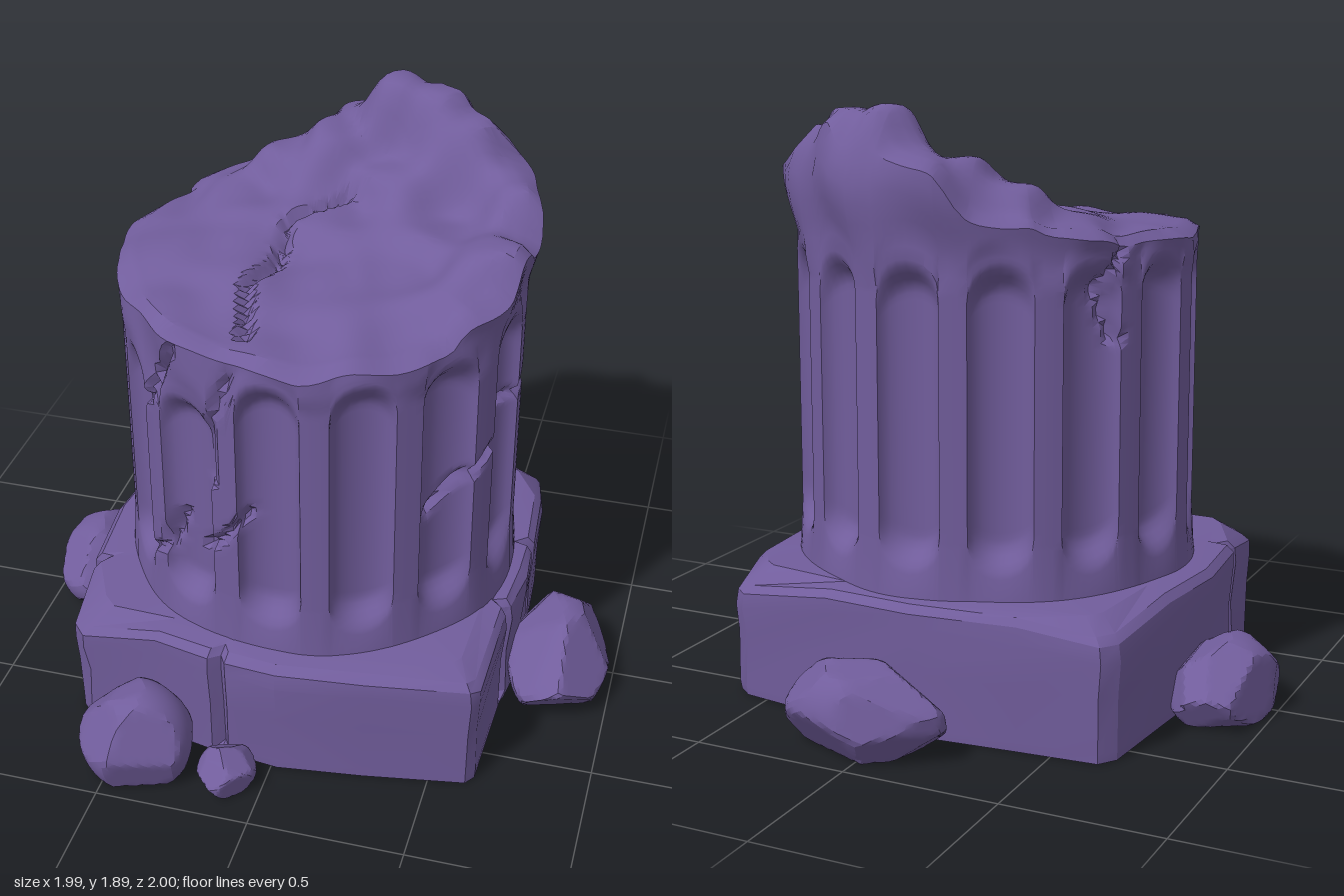
import * as THREE from 'three';
import { toCreasedNormals } from 'three/addons/utils/BufferGeometryUtils.js';

const stone = new THREE.MeshStandardMaterial({ color: 0x715d9c });
stone.name = 'purple stone';

function seeded(seed) {
  return () => {
    seed = (seed * 16807) % 2147483647;
    return seed / 2147483647;
  };
}
const step = (a, b, x) => THREE.MathUtils.smoothstep(x, a, b);

// Surface closed around the vertical axis; u runs front to +x, v runs upward
function wrapGrid(nu, nv, pointAt, crease) {
  const pos = [], index = [];
  for (let v = 0; v < nv; v++) for (let u = 0; u < nu; u++) pos.push(...pointAt(u, v));
  for (let v = 0; v < nv - 1; v++) {
    for (let u = 0; u < nu; u++) {
      const w = (u + 1) % nu;
      const a = v * nu + u, b = v * nu + w, c = b + nu, d = a + nu;
      index.push(a, b, c, a, c, d);
    }
  }
  const g = new THREE.BufferGeometry();
  g.setAttribute('position', new THREE.Float32BufferAttribute(pos, 3));
  g.setIndex(index);
  return toCreasedNormals(g, crease);
}

function addMesh(parent, name, geometry) {
  const m = new THREE.Mesh(geometry, stone);
  m.name = name;
  parent.add(m);
  return m;
}

// Distance from a point to a polyline, for carving cracks
function lineDistance(x, y, pts) {
  let best = 9;
  for (let i = 0; i < pts.length - 1; i++) {
    const [ax, ay] = pts[i], dx = pts[i + 1][0] - ax, dy = pts[i + 1][1] - ay;
    const t = THREE.MathUtils.clamp(((x - ax) * dx + (y - ay) * dy) / (dx * dx + dy * dy), 0, 1);
    best = Math.min(best, Math.hypot(x - ax - t * dx, y - ay - t * dy));
  }
  return best;
}

// Broken top: heights [x, z, y] blended into rough terraces
const peaks = [
  [0, 0.6, 1.45], [-0.4, 0.45, 1.48], [0.4, 0.5, 1.46], [-0.62, 0.1, 1.51], [-0.3, 0.1, 1.53],
  [0, 0.2, 1.5], [0.25, 0.15, 1.52], [0.6, 0.27, 1.54], [0.55, 0.1, 1.64], [0.63, -0.03, 1.59],
  [0.6, -0.2, 1.7], [0.35, -0.1, 1.57], [0, -0.15, 1.56], [-0.35, -0.2, 1.56], [-0.6, -0.2, 1.5],
  [-0.45, -0.42, 1.54], [-0.25, -0.38, 1.66], [-0.1, -0.4, 1.73], [0.1, -0.28, 1.66],
  [0.1, -0.5, 1.89], [0.26, -0.48, 1.89], [0.38, -0.42, 1.81], [0.52, -0.35, 1.71],
  [0, -0.62, 1.75], [0.2, -0.63, 1.79], [0.42, -0.5, 1.76], [-0.3, -0.57, 1.58],
];
const topCrack = [[0, -0.22], [-0.15, -0.05], [-0.13, 0.15], [-0.18, 0.3], [-0.12, 0.52]];
function topHeight(x, z) {
  let sum = 0, weight = 0;
  for (const [px, pz, h] of peaks) {
    const w = 1 / (((x - px) ** 2 + (z - pz) ** 2) ** 2 + 1e-5);
    sum += w * h;
    weight += w;
  }
  const rough = 0.012 * Math.sin(17 * x + 5 * z) * Math.sin(13 * z - 6 * x);
  return sum / weight + rough - 0.035 * (1 - step(0, 0.03, lineDistance(x, z, topCrack)));
}

// Cracks on the shaft as [angle from front, height]
const shaftCracks = [
  [[-0.4, 0.71], [-0.24, 0.8], [-0.12, 0.9]],
  [[-0.78, 0.6], [-0.62, 0.66], [-0.55, 0.8]],
  [[-0.85, 1.12], [-0.7, 1.2], [-0.5, 1.42]],
  [[-0.3, 1.0], [-0.29, 1.2], [-0.2, 1.38]],
  [[0.83, 0.85], [1.1, 1.0], [1.28, 1.08], [1.67, 1.14], [1.9, 1.2]],
  [[-2.1, 1.2], [-2.2, 1.36], [-2.05, 1.5]],
];

function columnGeometry() {
  const R = 0.64, cx = -0.02, cz = 0.015, flutes = 14, per = 13;
  const shaftRows = 46, rimRows = 7, capRows = 26, half = 0.157, pitch = (2 * Math.PI) / flutes;
  return wrapGrid(flutes * per, 1 + shaftRows + rimRows + capRows, (u, v) => {
    // Samples 0-10 cross the flute, 11-12 cross the rib
    const flute = Math.floor(u / per), k = u % per;
    const across = k <= 10 ? Math.sin((Math.PI / 10) * (k - 5)) : 1;
    const rib = k > 10 ? ((pitch - 2 * half) * (k - 10)) / 3 : 0;
    let angle = flute * pitch + across * half + rib;
    if (angle > Math.PI) angle -= 2 * Math.PI;
    const s = Math.sin(angle), c = Math.cos(angle);
    const rimY = topHeight(cx + R * s, cz + R * c);
    const mid = flute * pitch;
    const midRim = topHeight(cx + R * Math.sin(mid), cz + R * Math.cos(mid));
    const round = 0.09 * (1 - Math.sqrt(1 - across * across));
    const chip = flute === 12 ? 0.1 : flute === 13 ? 0.14 : 0;
    const yb = 0.49 + round;
    const yt = Math.min(Math.min(midRim - 0.06, 1.45) - chip, rimY - 0.05) - round;
    let y, r = R + 0.012 * Math.sin(3 * angle + 1) * Math.sin(4 * angle);

    if (v === 0) {
      y = 0.41;
      r += 0.01;
    } else if (v <= shaftRows) {
      y = yb + ((yt - yb) * (v - 1)) / (shaftRows - 1);
      const end = step(0, 0.1, Math.min(y - yb, yt - y));
      r -= 0.065 * Math.sqrt(Math.max(0, 1 - across * across)) * end;
    } else if (v <= shaftRows + rimRows) {
      y = yt + ((rimY - 0.025 - yt) * (v - shaftRows)) / rimRows;
      r += 0.012 * Math.sin(11 * angle + 9 * y) * step(yt, yt + 0.08, y);
      r += 0.03 * step(1.45, 1.65, y) - 0.3 * Math.max(0, y - 1.69);
    } else {
      // Cap rings close the top
      const t = (v - shaftRows - rimRows) / capRows;
      const edge = r + 0.03 * step(1.45, 1.65, rimY) - 0.3 * Math.max(0, rimY - 1.69);
      r = (edge - 0.02) * (1 - t) / (1 - 1 / capRows) * (1 - 1 / capRows);
      return [cx + r * s, topHeight(cx + r * s, cz + r * c), cz + r * c];
    }
    for (const line of shaftCracks) {
      const d = lineDistance(angle * R, y, line.map(([a, h]) => [a * R, h]));
      r -= 0.03 * (1 - step(0, 0.025, d));
    }
    return [cx + r * s, y, cz + r * c];
  }, 0.55);
}

// Plinth outline as [x, z, notch, corner drop]
const outline = [
  [0.02, 0.755, 0, 0], [0.3, 0.72, 0, 0], [0.63, 0.665, 0, 0.01], [0.655, 0.63, 0, 0.02],
  [0.665, 0.27, 0, 0], [0.665, 0.25, 0.035, 0], [0.675, 0.22, 0, 0], [0.695, 0.05, 0, 0],
  [0.69, -0.09, 0, 0], [0.68, -0.11, 0.04, 0], [0.685, -0.14, 0, 0], [0.67, -0.4, 0, 0],
  [0.64, -0.58, 0, 0.05], [0.59, -0.62, 0, 0.05], [0.25, -0.67, 0, 0], [-0.05, -0.695, 0, 0],
  [-0.4, -0.665, 0, 0], [-0.66, -0.645, 0, 0.03], [-0.7, -0.59, 0, 0.03], [-0.73, -0.25, 0, 0],
  [-0.76, 0.05, 0, 0], [-0.735, 0.34, 0, 0], [-0.725, 0.36, 0.035, 0], [-0.725, 0.39, 0, 0],
  [-0.7, 0.63, 0, 0.04], [-0.65, 0.68, 0, 0.04], [-0.4, 0.69, 0, 0], [-0.21, 0.73, 0, 0],
  [-0.18, 0.735, 0.035, 0], [-0.15, 0.735, 0, 0],
];
function plinthGeometry() {
  const rand = seeded(77);
  const rows = [[0, 0], [0.98, 0], [0.99, 0.03], [0.985, 0.2], [1, 0.34], [0.995, 0.39], [0.965, 0.415], [0.87, 0.425], [0, 0.425]];
  return wrapGrid(outline.length, rows.length, (u, v) => {
    const [x, z, notch, drop] = outline[u], [scale, y] = rows[v];
    const side = v > 1 && v < 7 ? 1 : 0;
    const f = scale - side * (notch * 1.3 + 0.012 * rand());
    return [x * f, y - (v > 3 && v < 7 ? drop : 0), z * f];
  }, 0.4);
}

// Boulder: a ball cut by random planes, fitted to its box and flattened below
function rockGeometry(seed, [x, z], [hx, hz], h) {
  const rand = seeded(seed), cuts = [];
  for (let i = 0; i < 15; i++) {
    const n = new THREE.Vector3(rand() - 0.5, rand() * 0.9 - 0.35, rand() - 0.5).normalize();
    cuts.push([n, 0.74 + 0.16 * rand()]);
  }
  const g = new THREE.IcosahedronGeometry(1, 9), p = g.attributes.position, q = new THREE.Vector3();
  for (let i = 0; i < p.count; i++) {
    q.fromBufferAttribute(p, i);
    let k = 1;
    for (const [n, d] of cuts) k = Math.min(k, d / Math.max(q.dot(n), 1e-3));
    q.multiplyScalar(k);
    p.setXYZ(i, q.x, q.y, q.z);
  }
  g.computeBoundingBox();
  const { min, max } = g.boundingBox, mid = min.clone().add(max).multiplyScalar(0.5);
  for (let i = 0; i < p.count; i++) {
    const fy = (p.getY(i) - min.y) / (max.y - min.y);
    p.setXYZ(i,
      x + (hx * (p.getX(i) - mid.x) * 2) / (max.x - min.x),
      Math.max(0, h * (1.22 * fy - 0.22)),
      z + (hz * (p.getZ(i) - mid.z) * 2) / (max.z - min.z));
  }
  g.deleteAttribute('uv');
  return toCreasedNormals(g, 0.35);
}

export function createModel() {
  const model = new THREE.Group();
  model.name = 'brokenColumn';
  addMesh(model, 'flutedShaft', columnGeometry());
  addMesh(model, 'plinth', plinthGeometry());

  const rocks = new THREE.Group();
  rocks.name = 'rocks';
  model.add(rocks);
  addMesh(rocks, 'rightRock', rockGeometry(11, [-0.845, -0.06], [0.15, 0.24], 0.25));
  addMesh(rocks, 'leftRock', rockGeometry(523, [0.82, 0.07], [0.17, 0.27], 0.29));
  addMesh(rocks, 'backRock', rockGeometry(9001, [0.02, -0.83], [0.26, 0.17], 0.27));
  addMesh(rocks, 'frontRock', rockGeometry(3407, [-0.415, 0.835], [0.185, 0.165], 0.31));
  addMesh(rocks, 'smallFrontRock', rockGeometry(616, [-0.115, 0.84], [0.095, 0.105], 0.12));
  return model;
}
